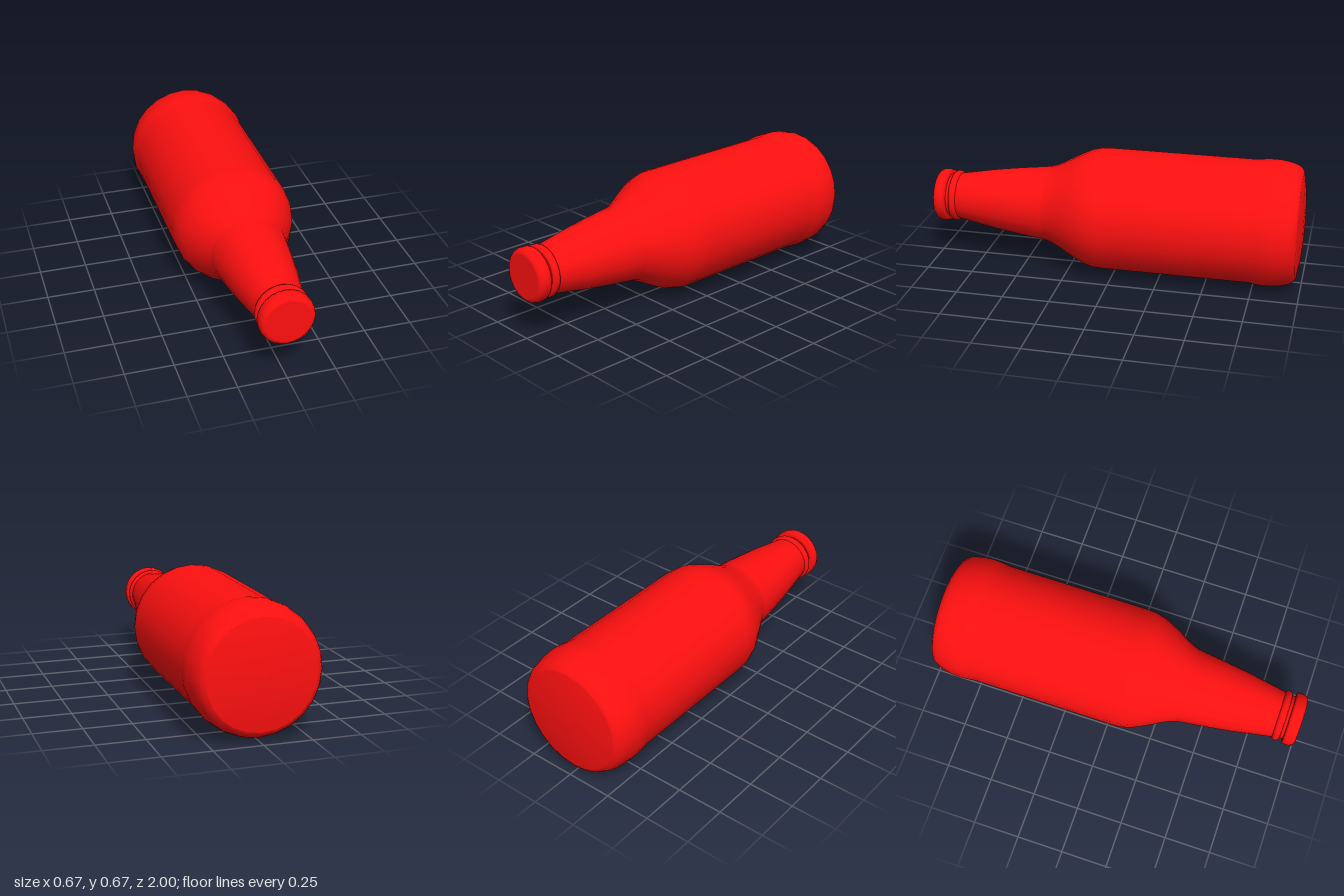
import * as THREE from 'three';

const SIDES = 24;
const AXIS_Y = 0.336;

export function createModel() {
  const bottle = new THREE.Group();
  bottle.name = 'bottle';
  const glass = new THREE.MeshStandardMaterial({ color: 0xff1010 });

  // Turns a profile of [radius, z] pairs, listed back to front, around the bottle's axis
  const turned = (name, profile) => {
    const points = profile.map(([r, z]) => new THREE.Vector2(r, z));
    const geometry = new THREE.LatheGeometry(points, SIDES);
    geometry.rotateX(Math.PI / 2);
    const mesh = new THREE.Mesh(geometry, glass);
    mesh.name = name;
    mesh.position.y = AXIS_Y;
    bottle.add(mesh);
  };

  // Slightly domed base
  turned('base', [[0, -1], [0.1, -0.997], [0.2, -0.989], [0.28, -0.976]]);

  // Rounded heel, straight wall and curved shoulder
  turned('body', [
    [0.28, -0.976], [0.3, -0.965], [0.315, -0.94], [0.326, -0.9], [0.333, -0.85],
    [0.334, -0.82], [0.332, -0.78], [0.325, -0.73], [0.325, 0.05], [0.322, 0.1],
    [0.309, 0.15], [0.286, 0.2], [0.26, 0.25], [0.232, 0.3], [0.213, 0.34], [0.203, 0.37],
  ]);

  // Long tapering neck
  turned('neck', [
    [0.203, 0.37], [0.198, 0.4], [0.182, 0.53], [0.162, 0.67], [0.142, 0.78],
    [0.126, 0.87], [0.118, 0.9], [0.118, 0.95],
  ]);

  // Thin ring below the mouth
  turned('neckRing', [
    [0.118, 0.872], [0.133, 0.878], [0.138, 0.89], [0.137, 0.902], [0.13, 0.912], [0.116, 0.916],
  ]);

  // Thick lip and the closed mouth
  turned('lip', [
    [0.117, 0.931], [0.138, 0.933], [0.142, 0.945], [0.142, 0.97], [0.137, 0.986],
    [0.128, 0.996], [0.115, 1],
  ]);
  turned('mouth', [[0.115, 1], [0, 1]]);

  return bottle;
}
